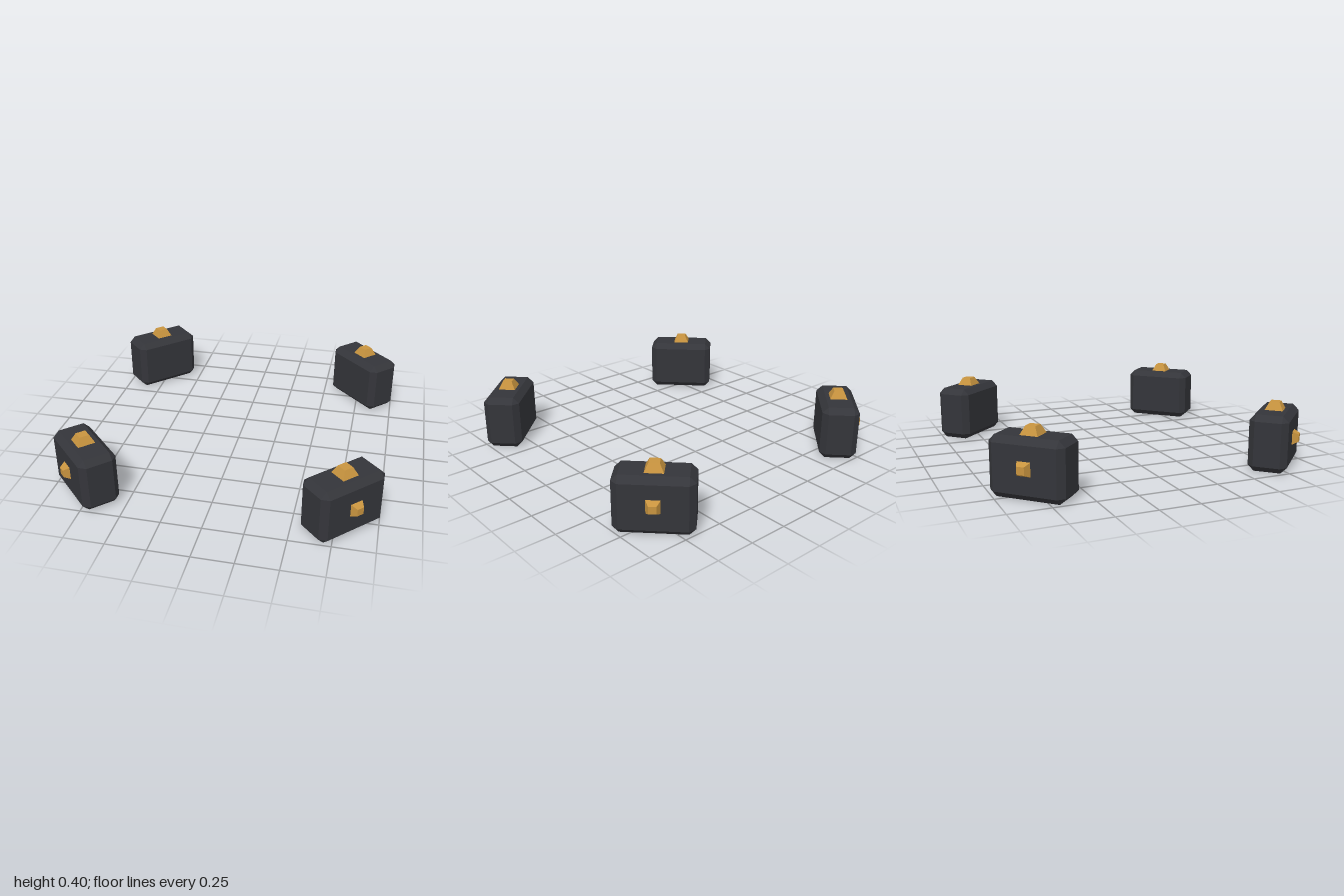
import * as THREE from 'three';
import { ConvexGeometry } from 'three/addons/geometries/ConvexGeometry.js';

const dark = new THREE.MeshStandardMaterial({ color: 0x34353a, flatShading: true });
const gold = new THREE.MeshStandardMaterial({ color: 0xc8943f, flatShading: true });

// Box with every edge chamfered: each corner becomes three points
function chamferedBox(w, h, d, c) {
  const points = [];
  for (const sx of [-1, 1]) for (const sy of [-1, 1]) for (const sz of [-1, 1]) {
    for (let axis = 0; axis < 3; axis++) {
      const half = [w / 2 - c, h / 2 - c, d / 2 - c];
      half[axis] += c;
      points.push(new THREE.Vector3(sx * half[0], sy * half[1], sz * half[2]));
    }
  }
  return new ConvexGeometry(points);
}

// Square stud tapering upwards from its base at y = 0
function taperedStud() {
  const g = new THREE.CylinderGeometry(0.043, 0.08, 0.054, 4);
  g.rotateY(Math.PI / 4);
  g.translate(0, 0.023, 0);
  return g;
}

function part(name, geometry, material, parent) {
  const mesh = new THREE.Mesh(geometry, material);
  mesh.name = name;
  parent.add(mesh);
  return mesh;
}

export function createModel() {
  const model = new THREE.Group();
  model.name = 'cornerBlocks';
  const height = 0.353, depth = 0.236;
  const block = chamferedBox(0.461, height, depth, 0.0375);
  const stud = taperedStud();
  const names = ['frontLeft', 'backLeft', 'backRight', 'frontRight'];

  // Four blocks, each turned so its studded face looks outwards
  names.forEach((name, i) => {
    const corner = new THREE.Group();
    corner.name = name + 'Corner';
    const angle = Math.PI / 4 + i * Math.PI / 2;
    corner.position.set(0.7805 * Math.sign(Math.sin(angle)), 0, 0.7805 * Math.sign(Math.cos(angle)));
    corner.rotation.y = angle;

    part('block', block, dark, corner).position.y = height / 2;
    part('topStud', stud, gold, corner).position.y = height;

    const face = part('outerStud', stud, gold, corner);
    face.position.set(0, 0.186, depth / 2);
    face.rotation.x = Math.PI / 2;
    face.scale.setScalar(0.75);
    model.add(corner);
  });
  return model;
}
